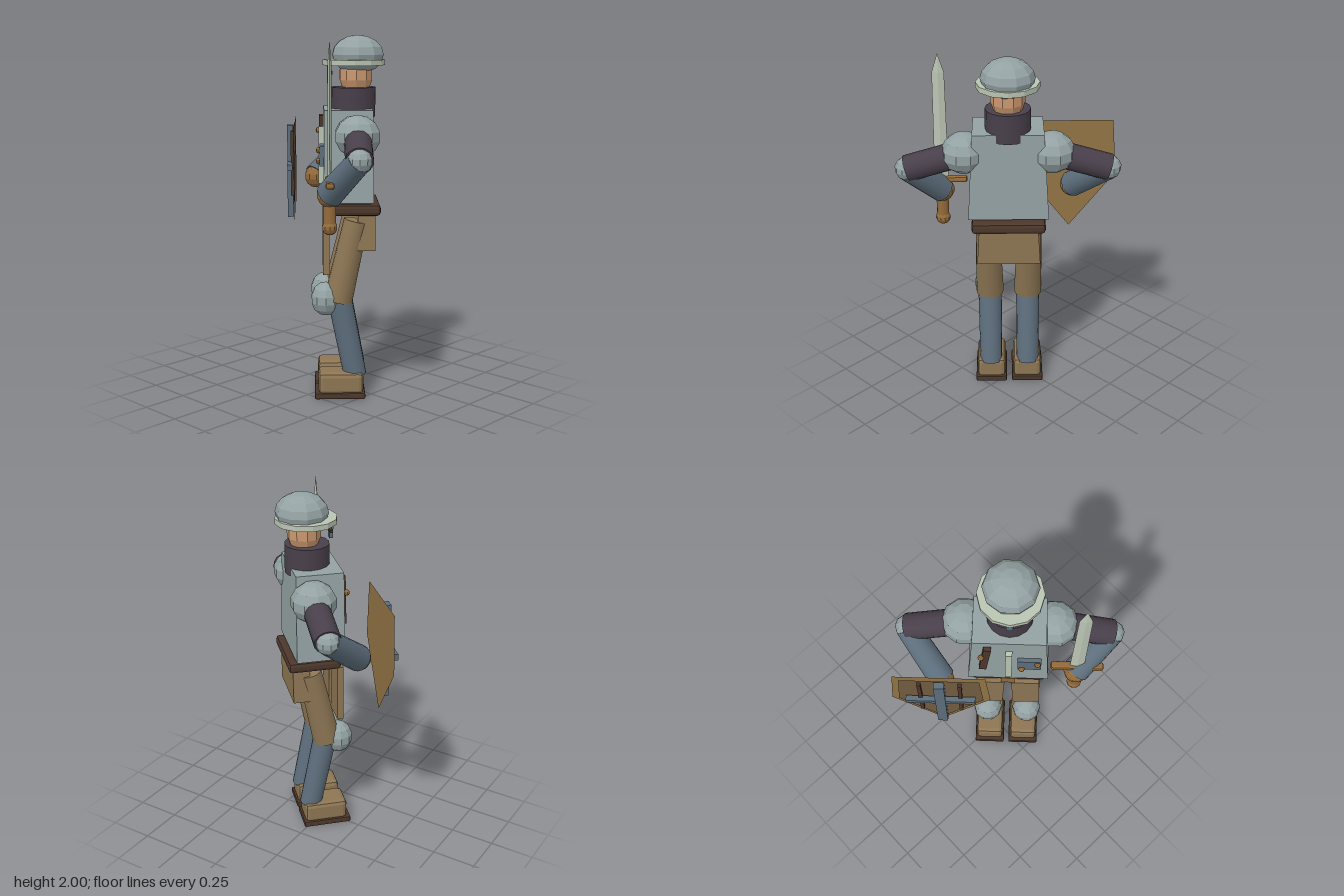
import * as THREE from 'three';
import { RoundedBoxGeometry } from 'three/addons/geometries/RoundedBoxGeometry.js';

const mat = (name, color, side = THREE.FrontSide) => {
  const m = new THREE.MeshStandardMaterial({ color, side });
  m.name = name;
  return m;
};

export function createModel() {
  const steel = mat('steel', 0x94a2a3);
  const pale = mat('pale metal', 0xbac5b3);
  const blue = mat('blue steel', 0x5d6e7c);
  const cloth = mat('dark cloth', 0x483f4a);
  const tan = mat('tan leather', 0x8d7654);
  const dark = mat('dark leather', 0x4c372b);
  const bronze = mat('bronze leather', 0x946b3a);
  const skin = mat('skin', 0xcb9870);
  const rim = mat('shield rim', 0x927445, THREE.DoubleSide);
  const panel = mat('shield panel', 0x715c40, THREE.DoubleSide);

  const model = new THREE.Group();
  const figure = new THREE.Group();
  figure.name = 'figure';
  figure.position.set(0.11, 0, -0.017);
  figure.rotation.y = -Math.PI / 4; // the figure looks diagonally
  model.add(figure);

  // Helpers
  const add = (name, geo, material, x, y, z) => {
    const mesh = new THREE.Mesh(geo, material);
    mesh.name = name;
    mesh.position.set(x, y, z);
    figure.add(mesh);
    return mesh;
  };
  const flat = (geo) => {
    const g = geo.index ? geo.toNonIndexed() : geo;
    g.computeVertexNormals();
    return g;
  };
  const box = (name, m, w, h, d, x, y, z) => add(name, new THREE.BoxGeometry(w, h, d), m, x, y, z);
  const soft = (name, m, w, h, d, x, y, z, r = 0.02) =>
    add(name, flat(new RoundedBoxGeometry(w, h, d, 1, r)), m, x, y, z);
  const ball = (name, m, r, x, y, z, sy = 1, seg = 10, rows = 7) =>
    add(name, flat(new THREE.SphereGeometry(r, seg, rows).scale(1, sy, 1)), m, x, y, z);
  const limb = (name, m, a, b, ra, rb) => {
    const p = new THREE.Vector3(...a), q = new THREE.Vector3(...b);
    const dir = q.clone().sub(p);
    const c = p.clone().add(q).multiplyScalar(0.5);
    const mesh = add(name, new THREE.CylinderGeometry(rb, ra, dir.length(), 16), m, c.x, c.y, c.z);
    mesh.quaternion.setFromUnitVectors(new THREE.Vector3(0, 1, 0), dir.normalize());
    return mesh;
  };

  // Head and helmet
  ball('head', skin, 0.094, 0, 1.785, 0, 1.3, 10, 7);
  ball('helmetDome', steel, 0.145, 0, 1.895, -0.01, 0.725, 10, 8);
  add('helmetBrim', flat(new THREE.CylinderGeometry(0.17, 0.17, 0.03, 12)), pale, 0, 1.853, 0.012);
  box('noseGuard', blue, 0.035, 0.1, 0.02, 0, 1.79, 0.148);
  box('eyeBar', dark, 0.14, 0.016, 0.016, 0, 1.797, 0.136);
  add('collar', new THREE.CylinderGeometry(0.123, 0.123, 0.16, 16), cloth, 0, 1.64, 0.016);

  // Breastplate, narrowing towards the neck
  const torso = new THREE.BoxGeometry(0.44, 0.495, 0.27);
  const tp = torso.attributes.position;
  for (let i = 0; i < tp.count; i++) {
    if (tp.getY(i) > 0) {
      tp.setX(i, tp.getX(i) * 0.87);
      tp.setZ(i, tp.getZ(i) * 0.97);
    }
  }
  add('breastplate', flat(torso), steel, 0, 1.3575, 0.045);

  // Chest fittings
  box('chestStrap', dark, 0.04, 0.27, 0.03, -0.125, 1.425, 0.185).rotation.z = -0.1;
  box('chestStrip', pale, 0.035, 0.315, 0.03, 0, 1.348, 0.19);
  box('chestPocket', blue, 0.125, 0.11, 0.03, 0.11, 1.36, 0.185);
  for (const [x, y] of [[-0.145, 1.47], [0.153, 1.39], [0.07, 1.32]])
    ball('stud', bronze, 0.017, x, y, 0.203, 1, 8, 6);

  // Belt and hanging panels
  soft('belt', dark, 0.405, 0.062, 0.295, 0, 1.067, 0.018);
  box('buckle', bronze, 0.075, 0.066, 0.03, 0, 1.067, 0.165);
  const back = new THREE.BoxGeometry(0.35, 0.2, 0.095);
  const bp = back.attributes.position;
  for (let i = 0; i < bp.count; i++) if (bp.getY(i) > 0) bp.setX(i, bp.getX(i) * 0.93);
  add('backPanel', flat(back), tan, 0, 0.94, -0.055);

  for (const s of [1, -1]) {
    const side = s > 0 ? 'left' : 'right';
    box(side + 'FrontPanel', tan, 0.155, 0.325, 0.035, s * 0.102, 0.87, 0.165).rotation.z = s * 0.03;

    // Leg
    limb(side + 'Thigh', tan, [s * 0.115, 1.0, 0.0], [s * 0.11, 0.55, 0.1], 0.068, 0.08);
    limb(side + 'Shin', blue, [s * 0.11, 0.58, 0.095], [s * 0.108, 0.12, 0.005], 0.068, 0.064);
    ball(side + 'KneeGuard', steel, 0.084, s * 0.115, 0.56, 0.168, 1.13);
    soft(side + 'Boot', tan, 0.165, 0.125, 0.25, s * 0.106, 0.083, 0.085, 0.025);
    soft(side + 'Sole', dark, 0.182, 0.035, 0.28, s * 0.106, 0.0175, 0.09, 0.008);

    // Arm
    const elbow = [s * 0.547, 1.38, 0.003];
    const hand = s > 0 ? [0.37, 1.185, 0.15] : [-0.362, 1.18, 0.215];
    ball(side + 'Pauldron', steel, 0.126, s * 0.237, 1.473, 0, 0.9);
    limb(side + 'Sleeve', cloth, [s * 0.25, 1.468, 0], elbow, 0.073, 0.073);
    ball(side + 'Elbow', steel, 0.066, ...elbow);
    limb(side + 'Forearm', blue, elbow, hand, 0.066, 0.074);
    ball(side + 'Glove', bronze, 0.07, ...hand);
  }

  // Sword in the left hand
  const sx = 0.37, sz = 0.15;
  const blade = (rTop, rBottom, h) =>
    flat(new THREE.CylinderGeometry(rTop, rBottom, h, 4, 1).scale(1, 1, 0.28));
  add('blade', blade(0.033, 0.039, 0.62), pale, sx, 1.56, sz);
  add('bladeTip', blade(0.0005, 0.033, 0.105), pale, sx, 1.9225, sz);
  soft('crossguard', bronze, 0.285, 0.034, 0.045, sx, 1.247, sz, 0.012);
  add('grip', new THREE.CylinderGeometry(0.034, 0.034, 0.22, 12), bronze, sx, 1.13, sz);
  ball('pommel', bronze, 0.042, sx, 1.01, sz);

  // Shield in front of the right hand
  const hx = -0.356, hz = 0.337;
  const shieldShape = (pts) => new THREE.ShapeGeometry(
    new THREE.Shape(pts.map(([x, y]) => new THREE.Vector2(x, y))));
  add('shieldPlate', shieldShape([[0, 0.85], [0.265, 1.19], [0.24, 1.515], [-0.24, 1.515], [-0.265, 1.19]]),
    rim, hx, 0, hz);
  add('shieldFace', shieldShape([[0, 0.9], [0.228, 1.2], [0.208, 1.485], [-0.208, 1.485], [-0.228, 1.2]]),
    panel, hx, 0, hz + 0.008);
  box('shieldCrossUpright', blue, 0.055, 0.54, 0.035, hx, 1.21, hz + 0.03);
  box('shieldCrossBar', blue, 0.37, 0.035, 0.03, hx, 1.252, hz + 0.03);
  for (const s of [1, -1])
    box('shieldSlat', dark, 0.02, 0.375, 0.02, hx + s * 0.106, 1.268, hz + 0.016);

  return model;
}
